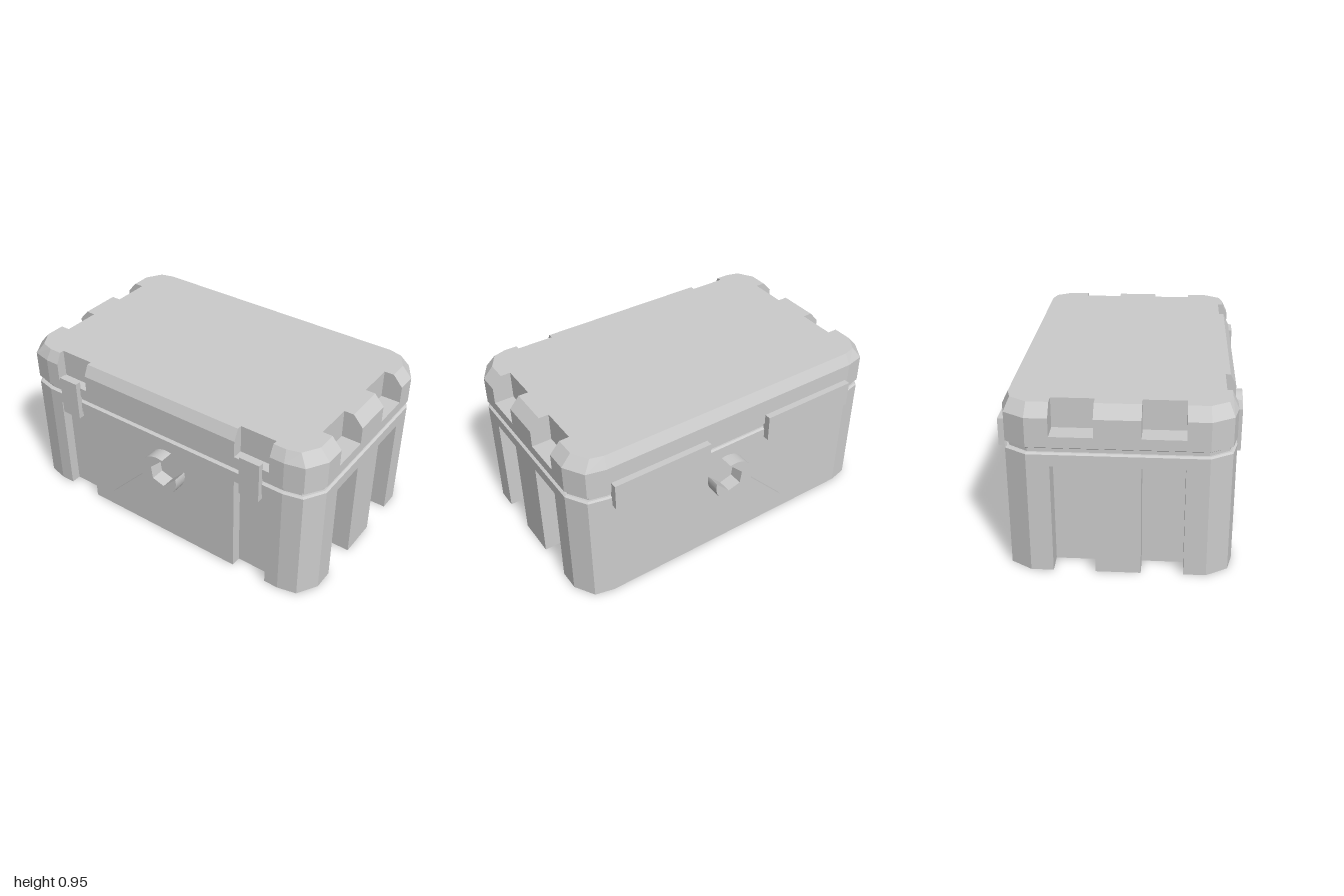
import * as THREE from 'three';

const material = new THREE.MeshStandardMaterial({ color: 0xcccccc, flatShading: true });

// Corner points (x, z) of the rounded footprint: full size, seam edge, neck, lid top
const FULL = [[1, 0.465], [0.93, 0.58], [0.82, 0.605]];
const EDGE = [[0.988, 0.462], [0.92, 0.571], [0.818, 0.594]];
const NECK = [[0.977, 0.46], [0.91, 0.563], [0.815, 0.585]];
const TOP = [[0.942, 0.46], [0.885, 0.552], [0.81, 0.573]];

// Footprint loop; notched loops have two recesses on each end and two on the front
function outline(corner, notched) {
  const X = corner[0][0], Z = corner[2][1];
  const notch = (edge, deep, from, to) => [[edge, from], [deep, from], [deep, to], [edge, to]];
  const end = notched
    ? [...notch(X, 0.885, -0.345, -0.12), ...notch(X, 0.885, 0.12, 0.345)] : [];
  const front = notched
    ? [...notch(Z, 0.545, 0.735, 0.52), ...notch(Z, 0.545, -0.52, -0.735)].map(([z, x]) => [x, z]) : [];
  const flip = (points, sx, sz) => points.map(([x, z]) => [x * sx, z * sz]);
  const back = [...corner].reverse();
  return [
    ...end, ...corner, ...front, ...flip(back, -1, 1),
    ...flip(end, -1, -1), ...flip(corner, -1, -1), ...flip(back, 1, -1),
  ];
}

// Closed solid through [height, loop] sections with equal point counts
function loft(sections) {
  const n = sections[0][1].length;
  const positions = [], index = [];
  for (const [y, loop] of sections) for (const [x, z] of loop) positions.push(x, y, z);
  for (let s = 0; s < sections.length - 1; s++) {
    for (let i = 0; i < n; i++) {
      const a = s * n + i, b = s * n + (i + 1) % n;
      index.push(a, a + n, b, a + n, b + n, b);
    }
  }
  const cap = (s, reverse) => {
    const contour = sections[s][1].map(([x, z]) => new THREE.Vector2(x, z));
    for (const [a, b, c] of THREE.ShapeUtils.triangulateShape(contour, [])) {
      const o = s * n;
      index.push(o + a, o + (reverse ? c : b), o + (reverse ? b : c));
    }
  };
  cap(0, false);
  cap(sections.length - 1, true);
  const geometry = new THREE.BufferGeometry();
  geometry.setAttribute('position', new THREE.Float32BufferAttribute(positions, 3));
  geometry.setIndex(index);
  const flat = geometry.toNonIndexed();
  flat.computeVertexNormals();
  return flat;
}

function add(parent, name, geometry, x = 0, y = 0, z = 0) {
  const mesh = new THREE.Mesh(geometry, material);
  mesh.name = name;
  mesh.position.set(x, y, z);
  parent.add(mesh);
  return mesh;
}

const extrude = (shape, depth) =>
  new THREE.ExtrudeGeometry(shape, { depth, bevelEnabled: false, curveSegments: 36 });

// Open-jawed wrench emblem, raised from a wall; side is 1 for front, -1 for back
function wrench(side) {
  const group = new THREE.Group();
  group.name = side > 0 ? 'frontWrench' : 'backWrench';
  const wall = 0.6;
  const place = (depth) => (side > 0 ? wall : -wall - depth);

  const head = new THREE.Shape();
  head.absarc(0.063, 0.495, 0.125, THREE.MathUtils.degToRad(75), THREE.MathUtils.degToRad(373.5), false);
  for (const [x, y] of [[0.1, 0.438], [0.024, 0.46], [0.013, 0.535]]) head.lineTo(x, y);
  head.closePath();
  add(group, 'wrenchHead', extrude(head, 0.086), 0, 0, place(0.086));

  const handle = new THREE.Shape([
    [-0.056, 0.444], [-0.345, 0.14], [-0.355, 0.108], [-0.318, 0.073],
    [-0.262, 0.09], [0.024, 0.378], [0, 0.43],
  ].map(([x, y]) => new THREE.Vector2(x, y)));
  add(group, 'wrenchHandle', extrude(handle, 0.037), 0, 0, place(0.037));
  return group;
}

export function createModel() {
  const model = new THREE.Group();
  model.name = 'toolbox';

  // Body: recessed lower walls under a plain rim
  const body = new THREE.Group();
  body.name = 'body';
  model.add(body);
  const notchedFull = outline(FULL, true);
  add(body, 'lowerBody', loft([[0, notchedFull], [0.625, notchedFull]]));
  add(body, 'bodyRim', loft([[0.625, outline(FULL)], [0.69, outline(FULL)], [0.697, outline(EDGE)]]));
  add(body, 'seamNeck', loft([[0.69, outline(NECK)], [0.73, outline(NECK)]]));

  // Lid: plain lower band, then recessed upper part with a sloped edge
  const lid = new THREE.Group();
  lid.name = 'lid';
  model.add(lid);
  add(lid, 'lidRim', loft([[0.722, outline(EDGE)], [0.73, outline(FULL)], [0.79, outline(FULL)]]));
  add(lid, 'lidTop', loft([[0.79, notchedFull], [0.89, notchedFull], [0.955, outline(TOP, true)]]));

  // Front latches and back hinge plates
  for (const side of [1, -1]) {
    const label = side > 0 ? 'left' : 'right';
    add(model, label + 'Latch', new THREE.BoxGeometry(0.125, 0.24, 0.035), side * 0.632, 0.71, 0.6165);
    add(model, label + 'Hinge', new THREE.BoxGeometry(0.6, 0.155, 0.045), side * 0.5, 0.713, -0.6195);
  }

  model.add(wrench(1), wrench(-1));
  return model;
}
